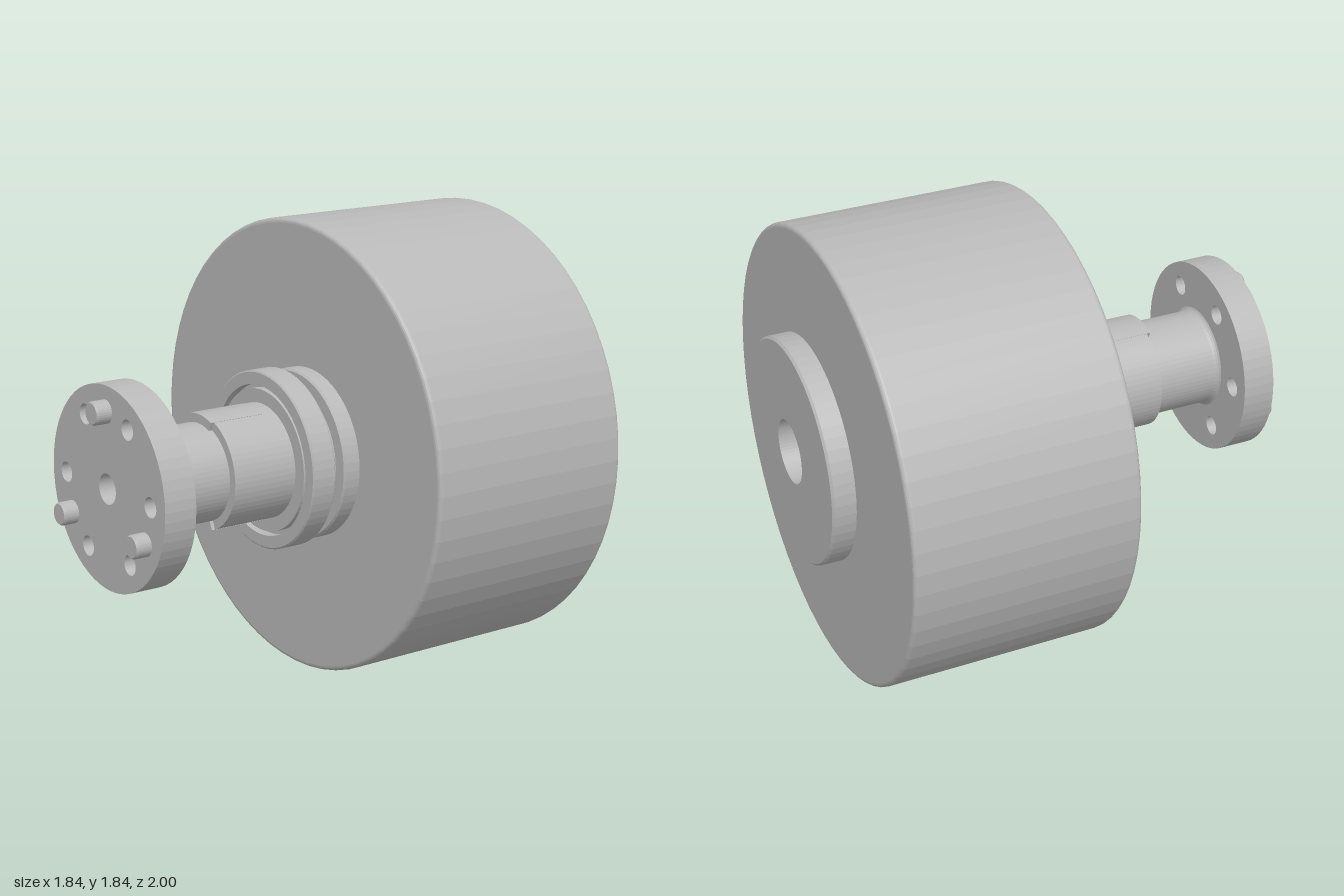
import * as THREE from 'three';

const CY = 0.918; // height of the drum axis
const CX = 0.09;  // sideways offset of the shaft axis
const metal = new THREE.MeshStandardMaterial({ color: 0xb8b8b8 });
metal.name = 'grey metal';

// faceted mesh, so every edge stays crisp
function part(name, geometry, x = 0, y = 0) {
  const g = geometry.index ? geometry.toNonIndexed() : geometry;
  g.computeVertexNormals();
  const m = new THREE.Mesh(g, metal);
  m.name = name;
  m.position.set(x, y, 0);
  return m;
}

// [radius, z] profile turned around the z axis
function turned(profile, segments = 64) {
  const pts = profile.map(([r, z]) => new THREE.Vector2(r, z));
  return new THREE.LatheGeometry(pts, segments).rotateX(Math.PI / 2);
}

// round plate outline with round holes given as [x, y, r]
function disc(r, holes) {
  const s = new THREE.Shape().absarc(0, 0, r, 0, Math.PI * 2, false);
  for (const [x, y, hr] of holes) {
    s.holes.push(new THREE.Path().absarc(x, y, hr, 0, Math.PI * 2, true));
  }
  return s;
}

export function createModel() {
  const model = new THREE.Group();
  model.name = 'eccentricDrum';

  // drum: rounded side wall and two end faces, open around the offset shaft
  const R = 0.918, f = 0.018, z0 = -0.905, z1 = 0.01;
  const wall = [];
  for (let i = 0; i <= 4; i++) {
    const a = (i / 4) * Math.PI / 2;
    wall.push([R - f + f * Math.sin(a), z0 + f - f * Math.cos(a)]);
  }
  for (let i = 0; i <= 4; i++) {
    const a = (i / 4) * Math.PI / 2;
    wall.push([R - f + f * Math.cos(a), z1 - f + f * Math.sin(a)]);
  }
  const drum = new THREE.Group();
  drum.name = 'drum';
  drum.position.y = CY;
  drum.add(
    part('drumWall', turned(wall)),
    part('drumFrontFace', new THREE.ShapeGeometry(disc(R - f, [[CX, 0, 0.25]]), 32).translate(0, 0, z1)),
    part('drumBackFace', new THREE.ShapeGeometry(disc(R - f, [[-CX, 0, 0.25]]), 32).rotateY(Math.PI).translate(0, 0, z0)),
  );
  model.add(drum);

  // everything else sits on the offset axis
  const axis = new THREE.Group();
  axis.name = 'offsetShaft';
  axis.position.set(CX, CY, 0);
  model.add(axis);

  // back boss with the wide bore running through the drum
  axis.add(part('backBoss', turned([
    [0.13, -1], [0.448, -1], [0.457, -0.991], [0.457, -0.9],
    [0.3, -0.9], [0.3, 0], [0.13, 0], [0.13, -1],
  ])));

  // stepped shaft with collars, ring groove and filleted neck
  const shaft = [
    [0.06, 0], [0.342, 0], [0.342, 0.075], [0.335, 0.082], [0.285, 0.082], [0.285, 0.134],
    [0.35, 0.134], [0.356, 0.14], [0.356, 0.235], [0.35, 0.24],
    [0.302, 0.24], [0.302, 0.2], [0.285, 0.2], [0.285, 0.235], [0.23, 0.235],
    [0.23, 0.515], [0.195, 0.515],
  ];
  for (let i = 0; i <= 4; i++) {
    const a = (i / 4) * Math.PI / 2;
    shaft.push([0.22 - 0.025 * Math.cos(a), 0.78 + 0.025 * Math.sin(a)]);
  }
  shaft.push([0.06, 0.805], [0.06, 0]);
  axis.add(part('shaft', turned(shaft)));

  // keys nearly flush with the shaft, above and below
  const half = Math.asin(0.09 / 0.231);
  for (const side of [1, -1]) {
    const mid = side * Math.PI / 2;
    const s = new THREE.Shape();
    s.absarc(0, 0, 0.231, mid - half, mid + half, false);
    s.absarc(0, 0, 0.19, mid + half, mid - half, true);
    const key = new THREE.ExtrudeGeometry(s, { depth: 0.245, bevelEnabled: false, curveSegments: 8 });
    axis.add(part(side > 0 ? 'upperKey' : 'lowerKey', key.translate(0, 0, 0.285)));
  }

  // front flange with bore and six bolt holes
  const holes = [[0, 0, 0.06]];
  for (let i = 0; i < 6; i++) {
    const a = i * Math.PI / 3;
    holes.push([0.3 * Math.cos(a), 0.3 * Math.sin(a), 0.04]);
  }
  const flange = new THREE.ExtrudeGeometry(disc(0.4, holes), { depth: 0.134, bevelEnabled: false, curveSegments: 32 });
  axis.add(part('frontFlange', flange.translate(0, 0, 0.803)));

  // three drive pins
  for (let i = 0; i < 3; i++) {
    const a = Math.PI / 2 + i * Math.PI * 2 / 3;
    const pin = turned([[0.046, 0.93], [0.046, 0.992], [0.04, 1], [0, 1]], 32);
    axis.add(part('drivePin', pin, 0.3 * Math.cos(a), 0.3 * Math.sin(a)));
  }
  return model;
}
